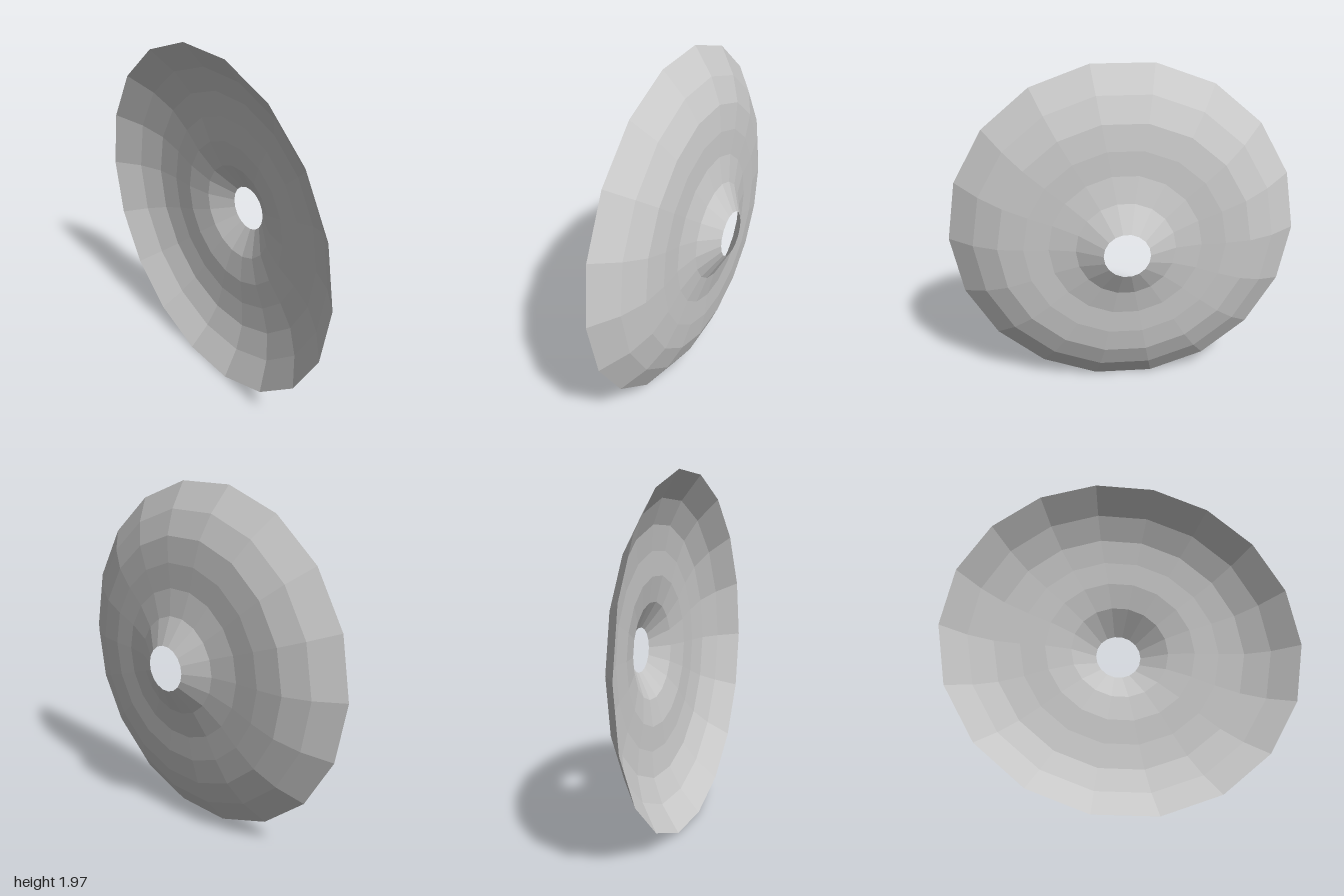
import * as THREE from 'three';

export function createModel() {
  const group = new THREE.Group();
  group.name = 'cymbal';

  // Thin shell profile: radius, depth (central bell at the back, rim at the front)
  const profile = [
    [0.13, -0.15], [0.28, -0.07], [0.43, -0.04], [0.57, -0.035],
    [0.715, -0.015], [0.855, 0.045], [1, 0.15],
  ].map(([r, z]) => new THREE.Vector2(r, z));

  // 18-sided dish, turned so its axis runs along z with a corner at each side
  const geometry = new THREE.LatheGeometry(profile, 18, Math.PI / 2);
  geometry.rotateX(Math.PI / 2);

  const dish = new THREE.Mesh(geometry, new THREE.MeshStandardMaterial({
    color: 0xcccccc, flatShading: true, side: THREE.DoubleSide,
  }));
  dish.name = 'dish';
  dish.position.y = Math.cos(Math.PI / 18); // stands on its lowest flat side
  group.add(dish);
  return group;
}
